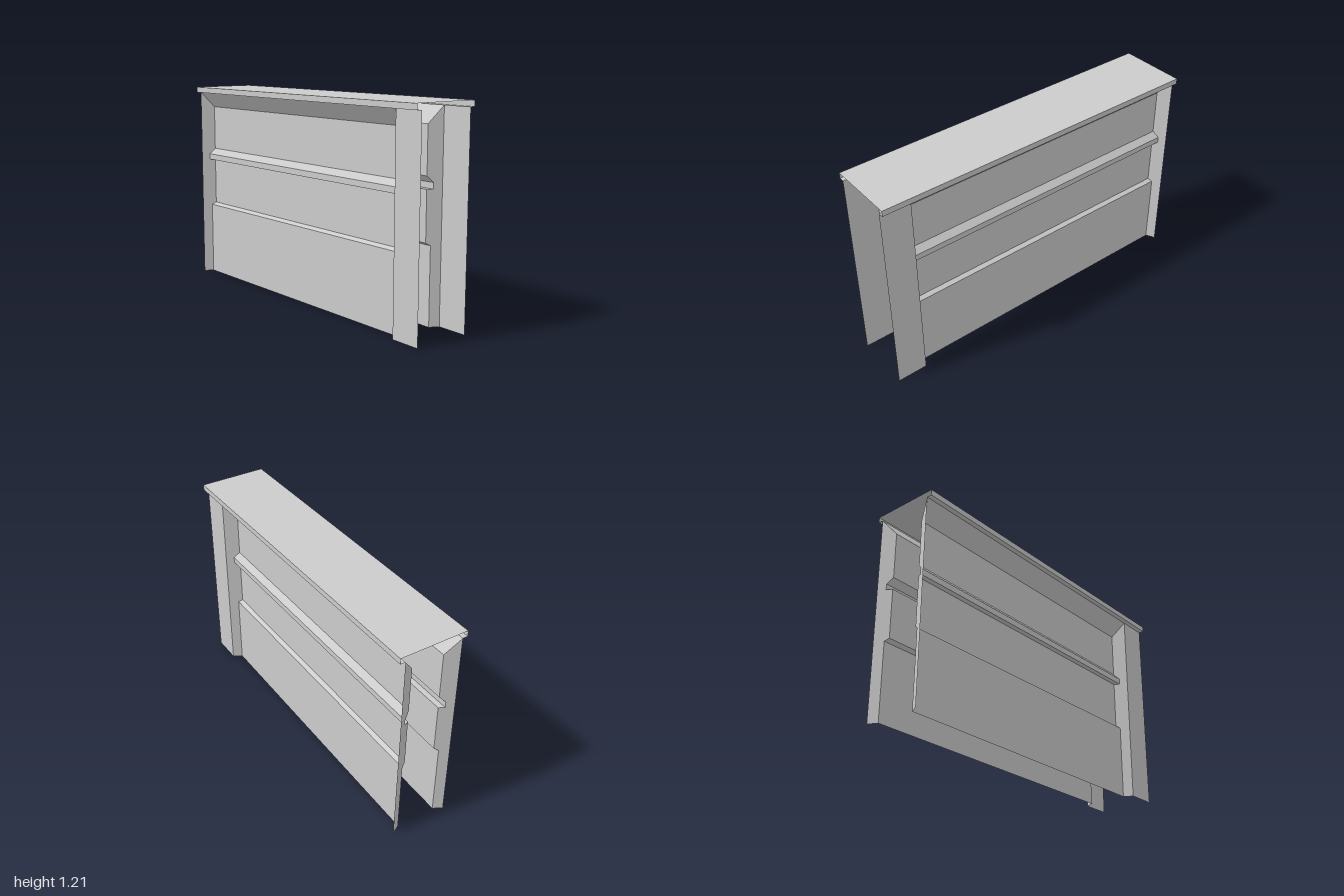
import * as THREE from 'three';

const material = new THREE.MeshStandardMaterial({
  color: 0xcccccc, flatShading: true, side: THREE.DoubleSide,
});

const INNER = 0.095, OUTER = 0.17, TOP = 1.18;

// The splayed returns run diagonally from the panel face to the pillar face
const splay = (x) => ((x - INNER) / (OUTER - INNER)) * 0.04;
const frontEnd = (x) => 0.78 + splay(x);
const backEnd = (x) => -0.96 - splay(x);

// Folded sheet: a cross-section [x, y] (bottom to top) swept along z
function sheet(name, section, zFront, zBack) {
  const pos = [];
  for (let i = 0; i < section.length - 1; i++) {
    const [ax, ay] = section[i], [bx, by] = section[i + 1];
    const a = [ax, ay, zFront(ax)], b = [ax, ay, zBack(ax)];
    const c = [bx, by, zBack(bx)], d = [bx, by, zFront(bx)];
    pos.push(...a, ...b, ...c, ...a, ...c, ...d);
  }
  const geo = new THREE.BufferGeometry();
  geo.setAttribute('position', new THREE.Float32BufferAttribute(pos, 3));
  geo.computeVertexNormals();
  const mesh = new THREE.Mesh(geo, material);
  mesh.name = name;
  return mesh;
}

// Flat plate between the panel section and the pillar face, slanted in z
function splayedReturn(name, section, zRule) {
  const outline = [...section, [OUTER, 0]].map(([x, y]) => new THREE.Vector2(x, y));
  const geo = new THREE.ShapeGeometry(new THREE.Shape(outline));
  const p = geo.attributes.position;
  for (let i = 0; i < p.count; i++) p.setZ(i, zRule(p.getX(i)));
  geo.computeVertexNormals();
  const mesh = new THREE.Mesh(geo, material);
  mesh.name = name;
  return mesh;
}

export function createModel() {
  const model = new THREE.Group();
  model.name = 'wallSection';

  // Panel section: thick base, ledge, rail, and cove up to the cap
  const section = [
    [0.118, 0], [0.118, 0.445], [INNER, 0.46],
    [INNER, 0.745], [0.127, 0.745], [0.127, 0.78], [INNER, 0.815],
    [INNER, 1.085], [OUTER, TOP],
  ];

  for (const side of [1, -1]) {
    const half = new THREE.Group();
    half.name = side > 0 ? 'leftSide' : 'rightSide';
    half.add(
      sheet('panel', section, frontEnd, backEnd),
      splayedReturn('frontReturn', section, frontEnd),
      splayedReturn('backReturn', section, backEnd),
      sheet('pillarFace', [[OUTER, 0], [OUTER, TOP]], () => 1, () => 0.82),
    );
    half.scale.x = side;
    model.add(half);
  }

  // Overhanging cap, open at both ends
  const cap = [[OUTER, TOP], [0.2, TOP], [0.2, 1.213], [-0.2, 1.213], [-0.2, TOP], [-OUTER, TOP]];
  model.add(sheet('cap', cap, () => 1, () => -1));
  return model;
}
